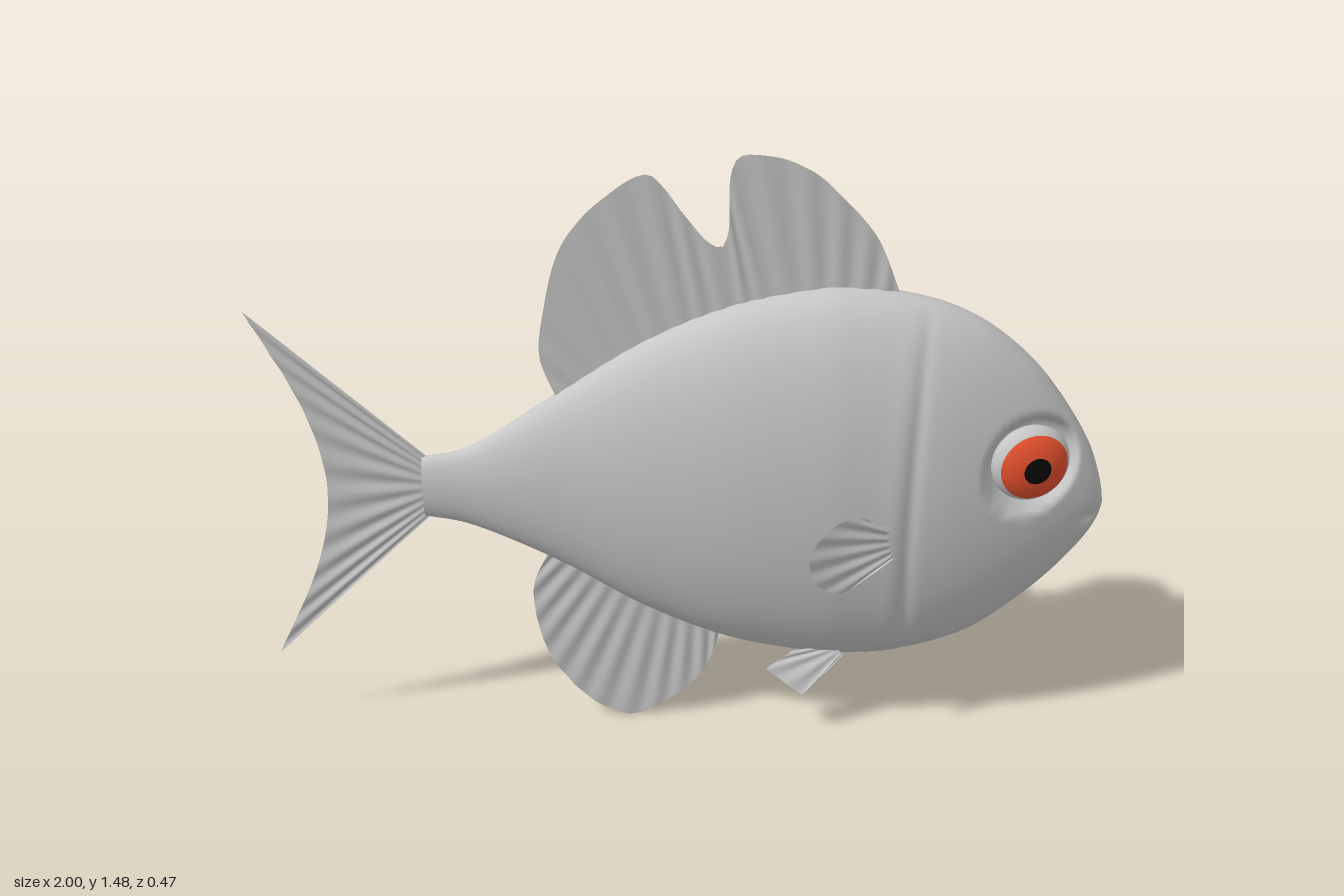
import * as THREE from 'three';

const named = (name, color) => {
  const m = new THREE.MeshStandardMaterial({ color });
  m.name = name;
  return m;
};

// Indexed surface from a (rows+1) x (cols+1) grid of points
function gridSurface(rows, cols, point) {
  const pos = [], index = [];
  for (let i = 0; i <= rows; i++)
    for (let j = 0; j <= cols; j++) pos.push(...point(i / rows, j / cols));
  for (let i = 0; i < rows; i++)
    for (let j = 0; j < cols; j++) {
      const a = i * (cols + 1) + j, b = a + cols + 1;
      index.push(a, a + 1, b, a + 1, b + 1, b);
    }
  const g = new THREE.BufferGeometry();
  g.setAttribute('position', new THREE.Float32BufferAttribute(pos, 3));
  g.setIndex(index);
  g.computeVertexNormals();
  return g;
}

// Body stations: x, top, bottom, half width
const STATIONS = [
  [-0.62, 0.745, 0.59, 0.03], [-0.5, 0.775, 0.56, 0.04], [-0.3, 0.905, 0.46, 0.077],
  [-0.1, 1.035, 0.335, 0.122], [0.1, 1.122, 0.245, 0.156], [0.3, 1.163, 0.2, 0.171],
  [0.4, 1.163, 0.192, 0.17], [0.5, 1.15, 0.197, 0.165], [0.6, 1.122, 0.22, 0.157],
  [0.7, 1.07, 0.26, 0.138], [0.8, 0.985, 0.335, 0.112], [0.88, 0.885, 0.41, 0.085],
  [0.95, 0.77, 0.495, 0.056], [0.985, 0.675, 0.555, 0.032], [1, 0.605, 0.6, 0.001],
];
const EYE = { x: 0.8, y: 0.755, z: 0.082, r: 0.095 };
const gauss = (d, w) => Math.exp(-((d / w) ** 2));

function bodyGeometry() {
  const curve = (f) => new THREE.CatmullRomCurve3(STATIONS.map(f), false, 'catmullrom', 0.5);
  const outline = curve((s) => new THREE.Vector3(s[0], s[1], s[2]));
  const widths = curve((s) => new THREE.Vector3(s[0], s[3], 0));
  return gridSurface(168, 96, (u, v) => {
    const p = outline.getPoint(u), w = Math.max(widths.getPoint(u).y, 0.001);
    const a = v * Math.PI * 2;
    const y = (p.y + p.z) / 2 + ((p.y - p.z) / 2) * Math.cos(a);
    let z = w * Math.sin(a);
    // gill crease behind the head
    const gill = 0.515 + 0.03 * ((y - 0.6) / 0.5) ** 2;
    z *= 1 - 0.045 * gauss(p.x - gill, 0.016) + 0.015 * gauss(p.x - gill + 0.04, 0.025);
    // mouth crease
    z *= 1 - 0.22 * gauss(y - 0.585, 0.018) * gauss(p.x - 0.965, 0.03);
    // eye socket
    const d = Math.hypot(p.x - EYE.x, y - EYE.y);
    const dip = 1 - THREE.MathUtils.smoothstep(d, 0.088, 0.125);
    z -= Math.sign(z) * Math.min(Math.abs(z) * 0.6, 0.045 * dip);
    return [p.x, y, z];
  });
}

// Fin spread from a root line to an outer edge, with shallow rays
function finGeometry(root, edge, { smooth = true, rays = 12, ripple = 0.003, z = () => 0 } = {}) {
  const pts = edge.map(([x, y]) => new THREE.Vector3(x, y, 0));
  const curve = new THREE.CatmullRomCurve3(pts, false, 'centripetal');
  const path = new THREE.CurvePath();
  for (let i = 1; i < pts.length; i++) path.add(new THREE.LineCurve3(pts[i - 1], pts[i]));
  const outline = smooth ? curve : path;
  const cols = 96;
  const outer = Array.from({ length: cols + 1 }, (_, j) => outline.getPointAt(j / cols));
  return gridSurface(10, cols, (v, u) => {
    const e = outer[Math.round(u * cols)];
    const x = THREE.MathUtils.lerp(THREE.MathUtils.lerp(root[0][0], root[1][0], u), e.x, v);
    const y = THREE.MathUtils.lerp(THREE.MathUtils.lerp(root[0][1], root[1][1], u), e.y, v);
    return [x, y, z(x, y) + ripple * Math.sin(u * rays * Math.PI * 2) * Math.sin(v * Math.PI * 0.8)];
  });
}

export function createModel() {
  const model = new THREE.Group();
  model.name = 'fish';
  const grey = named('skinGrey', 0xc6c6c6);
  grey.side = THREE.DoubleSide;
  const orange = named('irisOrange', 0xe6502d);
  const black = named('pupilBlack', 0x080808);

  const add = (name, geometry, material = grey, parent = model) => {
    const mesh = new THREE.Mesh(geometry, material);
    mesh.name = name;
    parent.add(mesh);
    return mesh;
  };

  add('body', bodyGeometry());

  // Flat end of the tail stalk
  const cap = new THREE.CircleGeometry(1, 48);
  cap.scale(0.03, 0.0775, 1);
  cap.rotateY(-Math.PI / 2);
  cap.translate(-0.62, 0.6675, 0);
  add('tailStalkEnd', cap);

  // Middle fins
  add('tailFin', finGeometry([[-0.6, 0.74], [-0.6, 0.595]],
    [[-1, 1.122], [-0.9, 0.91], [-0.86, 0.78], [-0.847, 0.665], [-0.86, 0.55], [-0.9, 0.42], [-1, 0.205]],
    { rays: 10 }));
  add('dorsalFin', finGeometry([[-0.29, 0.88], [0.48, 1.1]],
    [[-0.305, 0.91], [-0.335, 1], [-0.322, 1.12], [-0.28, 1.27], [-0.2, 1.37], [-0.085, 1.44],
      [-0.05, 1.41], [0, 1.34], [0.05, 1.28], [0.08, 1.265], [0.095, 1.3], [0.1, 1.44], [0.12, 1.478],
      [0.2, 1.476], [0.28, 1.443], [0.36, 1.37], [0.43, 1.285], [0.487, 1.15]], { rays: 16 }));
  add('analFin', finGeometry([[-0.31, 0.52], [0.1, 0.29]],
    [[-0.335, 0.475], [-0.37, 0.38], [-0.345, 0.21], [-0.3, 0.125], [-0.22, 0.038], [-0.13, 0.003],
      [-0.05, 0.04], [0.04, 0.125], [0.088, 0.25]], { rays: 12 }));

  for (const [side, s] of [['left', -1], ['right', 1]]) {
    // Paired fins
    add(side + 'PectoralFin', finGeometry([[0.505, 0.61], [0.505, 0.555]],
      [[0.44, 0.648], [0.4, 0.672], [0.36, 0.675], [0.3, 0.635], [0.278, 0.58], [0.3, 0.515],
        [0.36, 0.482], [0.41, 0.505], [0.45, 0.53]],
      { rays: 7, z: (x) => s * (0.155 + (0.5 - x) * 0.36) }));
    add(side + 'PelvicFin', finGeometry([[0.36, 0.24], [0.385, 0.215]],
      [[0.26, 0.228], [0.195, 0.185], [0.282, 0.12], [0.335, 0.168]],
      { smooth: false, rays: 4, ripple: 0.002, z: (x, y) => s * (0.062 + (0.23 - y) * 0.33) }));

    // Eye: one flattened ball split into pupil, iris and white
    const eye = new THREE.Group();
    eye.name = side + 'Eye';
    eye.position.set(EYE.x, EYE.y, s * EYE.z);
    eye.rotation.y = s > 0 ? 0.2 : Math.PI - 0.2;
    const zone = (name, from, to, material) => {
      const g = new THREE.SphereGeometry(1, 48, 16, 0, Math.PI * 2, from, to - from);
      g.rotateX(Math.PI / 2);
      g.scale(EYE.r, EYE.r, 0.05);
      add(name, g, material, eye);
    };
    zone('pupil', 0, 0.355, black);
    zone('iris', 0.355, 1.04, orange);
    zone('eyeball', 1.04, Math.PI, grey);
    model.add(eye);
  }
  return model;
}
